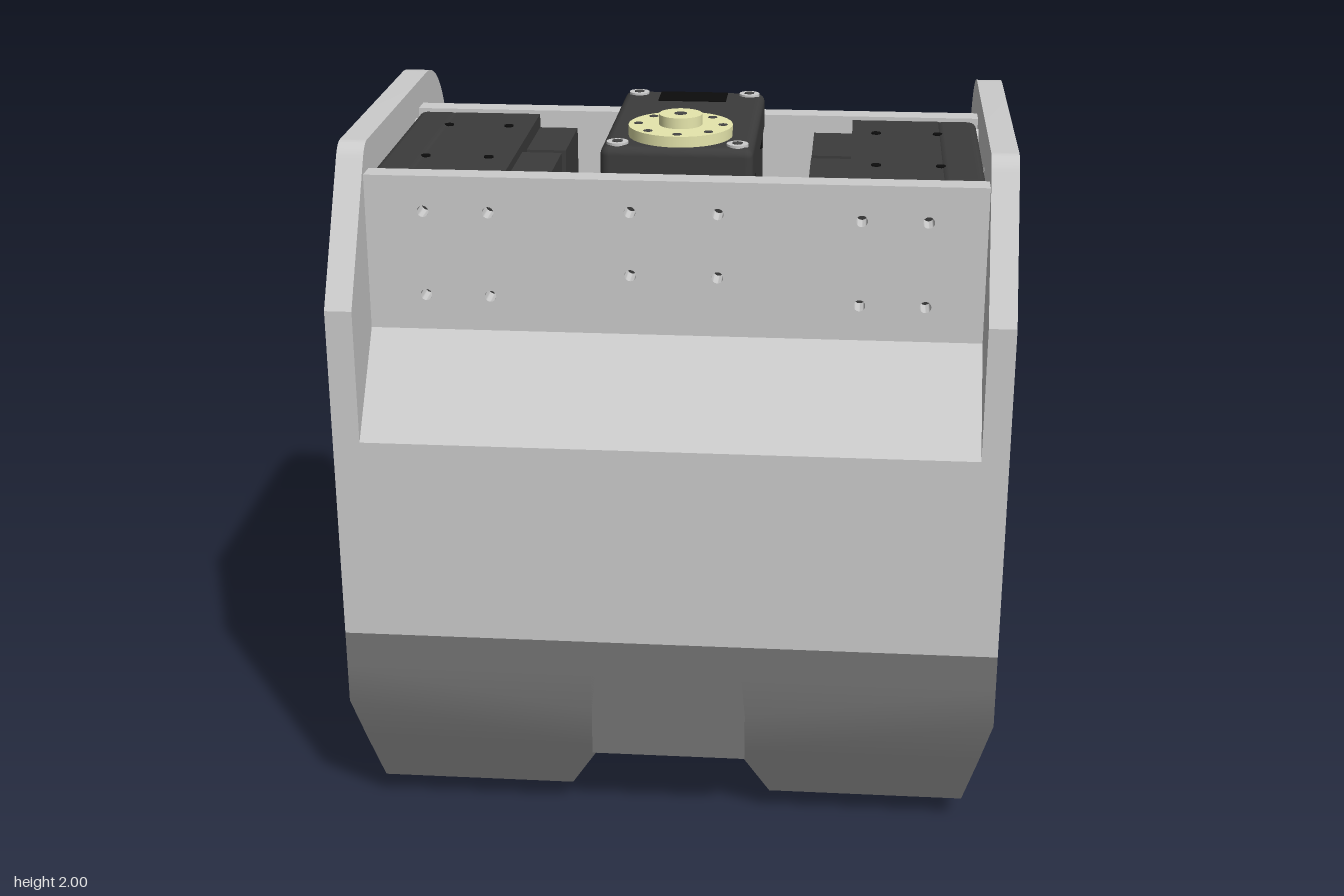
import * as THREE from 'three';
import { toCreasedNormals } from 'three/addons/utils/BufferGeometryUtils.js';
import { RoundedBoxGeometry } from 'three/addons/geometries/RoundedBoxGeometry.js';

const mat = (color) => new THREE.MeshStandardMaterial({ color });
const grey = mat(0xcccccc), baseMat = mat(0x747474), black = mat(0x3c3c3c);
const slotMat = mat(0x0c0c0c), hornMat = mat(0xe6e6ac), holeMat = mat(0x444444);

function add(parent, name, geometry, material, x = 0, y = 0, z = 0) {
  const mesh = new THREE.Mesh(geometry, material);
  mesh.name = name;
  mesh.position.set(x, y, z);
  parent.add(mesh);
  return mesh;
}
const box = (w, h, d) => new THREE.BoxGeometry(w, h, d);
const cyl = (r, h, n = 40) => new THREE.CylinderGeometry(r, r, h, n);

const poly = (pts) => new THREE.Shape(pts.map(([x, y]) => new THREE.Vector2(x, y)));
const rect = (x0, y0, x1, y1) => poly([[x0, y0], [x1, y0], [x1, y1], [x0, y1]]);
const circle = (x, y, r) => new THREE.Path().absarc(x, y, r, 0, Math.PI * 2, true);
function extrude(shape, depth) {
  const g = new THREE.ExtrudeGeometry(shape, { depth, bevelEnabled: false, curveSegments: 20 });
  return toCreasedNormals(g, 0.5);
}

// Servo with its horn along +y: origin on the horn axis, at the top of the case
function makeServo(name) {
  const g = new THREE.Group();
  g.name = name;
  const zc = -0.19, len = 0.69;
  add(g, 'case', new RoundedBoxGeometry(0.42, 0.125, len, 2, 0.025), black, 0, -0.0625, zc);
  add(g, 'caseMiddle', box(0.41, 0.26, len - 0.01), black, 0, -0.24, zc);
  add(g, 'caseRearBlock', box(0.33, 0.12, 0.27), black, 0, -0.425, zc - 0.2);
  add(g, 'caseRearHub', box(0.36, 0.12, 0.34), black, 0, -0.425, 0);
  add(g, 'cableSlot', box(0.2, 0.004, 0.11), slotMat, 0, 0.001, zc - 0.26);
  for (const sx of [-1, 1]) {
    for (const sz of [-1, 1]) {
      add(g, 'caseScrew', cyl(0.03, 0.012, 20), grey, sx * 0.165, 0, zc + sz * 0.298);
      add(g, 'screwSocket', cyl(0.016, 0.014, 6), holeMat, sx * 0.165, 0.001, zc + sz * 0.298);
      for (const y of [-0.12, -0.3])
        add(g, 'sideScrew', cyl(0.014, 0.006, 12), slotMat, sx * 0.206, y, zc + sz * 0.18).rotation.z = Math.PI / 2;
    }
  }
  // Output horn with a ring of screw holes
  add(g, 'horn', cyl(0.145, 0.03, 48), hornMat, 0, 0.015, 0);
  add(g, 'hornHub', cyl(0.06, 0.06), hornMat, 0, 0.03, 0);
  add(g, 'hornCentreHole', cyl(0.018, 0.002, 16), holeMat, 0, 0.06, 0);
  for (let i = 0; i < 8; i++) {
    const a = (i * Math.PI) / 4;
    add(g, 'hornHole', cyl(0.013, 0.002, 12), holeMat, 0.118 * Math.cos(a), 0.0302, 0.118 * Math.sin(a));
    add(g, 'idlerHole', cyl(0.013, 0.002, 12), holeMat, 0.118 * Math.cos(a), -0.5302, 0.118 * Math.sin(a));
  }
  // Rear idler ring
  const ring = new THREE.Shape().absarc(0, 0, 0.145, 0, Math.PI * 2);
  ring.holes.push(circle(0, 0, 0.06));
  add(g, 'idlerRing', extrude(ring, 0.045).rotateX(Math.PI / 2), grey, 0, -0.485, 0);
  return g;
}

// Half of the skirt: an open C-shaped wall lofted down through several levels
function skirtGeometry() {
  const t = 0.05, pos = [];
  // [y, half width, corner radius, front z, front end x]
  const levels = [[0.58, 0.925, 0.01, 0.71, 0.2], [0.47, 0.925, 0.05, 0.71, 0.21],
    [0.36, 0.925, 0.08, 0.71, 0.22], [0.22, 0.89, 0.08, 0.672, 0.2], [0.07, 0.85, 0.08, 0.63, 0.29]];
  const path = (y, w, r, zf, xf, off) => {
    const p = [[0.29, -0.71 + off]];
    const rr = Math.max(r - off, 0.005);
    for (let i = 0; i <= 6; i++) {
      const a = -Math.PI / 2 + (i / 6) * Math.PI / 2;
      p.push([w - off - rr + rr * Math.cos(a), -0.71 + off + rr + rr * Math.sin(a)]);
    }
    p.push([w - off, zf - off], [xf, zf - off]);
    return p.map(([x, z]) => [x, y, z]);
  };
  const rings = levels.map((l) => [...path(...l, 0), ...path(...l, t).reverse()]);
  const quad = (a, b, c, d) => pos.push(...a, ...b, ...c, ...a, ...c, ...d);
  const n = rings[0].length;
  for (let k = 0; k < rings.length - 1; k++)
    for (let i = 0; i < n; i++) {
      const j = (i + 1) % n;
      quad(rings[k][i], rings[k][j], rings[k + 1][j], rings[k + 1][i]);
    }
  const top = rings[0], low = rings[rings.length - 1];
  for (let i = 0; i < n / 2 - 1; i++) {
    quad(top[i], top[n - 1 - i], top[n - 2 - i], top[i + 1]);
    quad(low[i], low[i + 1], low[n - 2 - i], low[n - 1 - i]);
  }
  const g = new THREE.BufferGeometry();
  g.setAttribute('position', new THREE.Float32BufferAttribute(pos, 3));
  return toCreasedNormals(g, 0.4);
}

export function createModel() {
  const model = new THREE.Group();
  model.name = 'servoHousing';

  // Side plates: sloped front, rounded back, horn hole and window
  const side = poly([[-0.71, 0.58], [0.71, 0.58], [0.71, 1.55], [0.48, 1.91]]);
  side.quadraticCurveTo(0.455, 1.95, 0.42, 1.95);
  side.lineTo(-0.42, 1.95);
  side.absarc(-0.42, 1.66, 0.29, Math.PI / 2, Math.PI, false);
  side.holes.push(circle(0.255, 1.655, 0.16), rect(-0.1, 1.2, 0.315, 1.38));
  for (const z of [0.375, 0.14, -0.22])
    for (const y of [1.49, 1.82]) side.holes.push(circle(z, y, 0.018));
  const sideGeo = extrude(side, 0.075).rotateY(-Math.PI / 2);
  add(model, 'sidePlateLeft', sideGeo, grey, 0.925);
  add(model, 'sidePlateRight', sideGeo, grey, -0.85);

  // Front wall with its sloped shoulder
  const wall = poly([[0.64, 0.58], [0.71, 0.58], [0.71, 1.17], [0.49, 1.43], [0.42, 1.43], [0.42, 1.4], [0.64, 1.14]]);
  add(model, 'frontWall', extrude(wall, 1.7).rotateY(-Math.PI / 2), grey, 0.85);

  // Drilled crossbars in front of and behind the upper servos
  const bar = rect(-0.85, 1.43, 0.85, 1.87);
  for (const s of [-1, 1]) {
    for (const x of [0.51, 0.69])
      for (const y of [1.53, 1.77]) bar.holes.push(circle(s * x, y, 0.016));
    for (const y of [1.6, 1.78]) bar.holes.push(circle(s * 0.12, y, 0.016));
  }
  const barGeo = extrude(bar, 0.07);
  add(model, 'frontCrossbar', barGeo, grey, 0, 0, 0.42);
  add(model, 'rearCrossbar', barGeo, grey, 0, 0, -0.35);

  // Floor with openings for the lower servos (shape y is -z)
  const floor = rect(-0.85, -0.64, 0.85, 0.71);
  for (const s of [-1, 1]) {
    const opening = (x0, z0, x1, z1) => floor.holes.push(rect(s * x0, -z0, s * x1, -z1));
    opening(0.35, -0.525, 0.77, -0.35);
    opening(0.45, -0.17, 0.67, 0.04);
    floor.holes.push(circle(s * 0.56, -0.255, 0.16));
    for (const x of [0.535, 0.685])
      for (const z of [-0.64, -0.27]) floor.holes.push(circle(s * x, -z, 0.02));
    for (const x of [0.38, 0.74]) floor.holes.push(circle(s * x, -0.14, 0.018));
  }
  add(model, 'floor', extrude(floor, 0.06).rotateX(-Math.PI / 2), grey, 0, 0.58, 0);

  // Hollow skirt around the lower servos
  const skirt = new THREE.Group();
  skirt.name = 'baseSkirt';
  model.add(skirt);
  const half = skirtGeometry();
  const mirrored = half.clone().scale(-1, 1, 1);
  // restore the winding after mirroring
  for (const attr of Object.values(mirrored.attributes))
    for (let i = 0; i < attr.count; i += 3) {
      const a = [attr.getX(i), attr.getY(i), attr.getZ(i)];
      attr.setXYZ(i, attr.getX(i + 1), attr.getY(i + 1), attr.getZ(i + 1));
      attr.setXYZ(i + 1, ...a);
    }
  add(skirt, 'skirtLeft', half, baseMat);
  add(skirt, 'skirtRight', mirrored, baseMat);
  add(skirt, 'skirtFrontCentre', box(0.44, 0.36, 0.06), baseMat, 0, 0.4, 0.68);
  for (const s of [-1, 1])
    add(skirt, 'skirtRearLedge', box(0.38, 0.04, 0.37), baseMat, s * 0.62, 0.095, -0.485);

  // Five servos: one facing up, two outward, two down
  const place = (name, x, y, turn) => {
    const servo = makeServo(name);
    servo.position.set(x, y, 0.255);
    servo.rotation.z = turn;
    model.add(servo);
  };
  place('topServo', 0, 1.94, 0);
  for (const s of [-1, 1]) {
    place(s > 0 ? 'sideServoLeft' : 'sideServoRight', s * 0.845, 1.655, -s * Math.PI / 2);
    place(s > 0 ? 'bottomServoLeft' : 'bottomServoRight', s * 0.56, 0.06, Math.PI);
  }
  return model;
}
